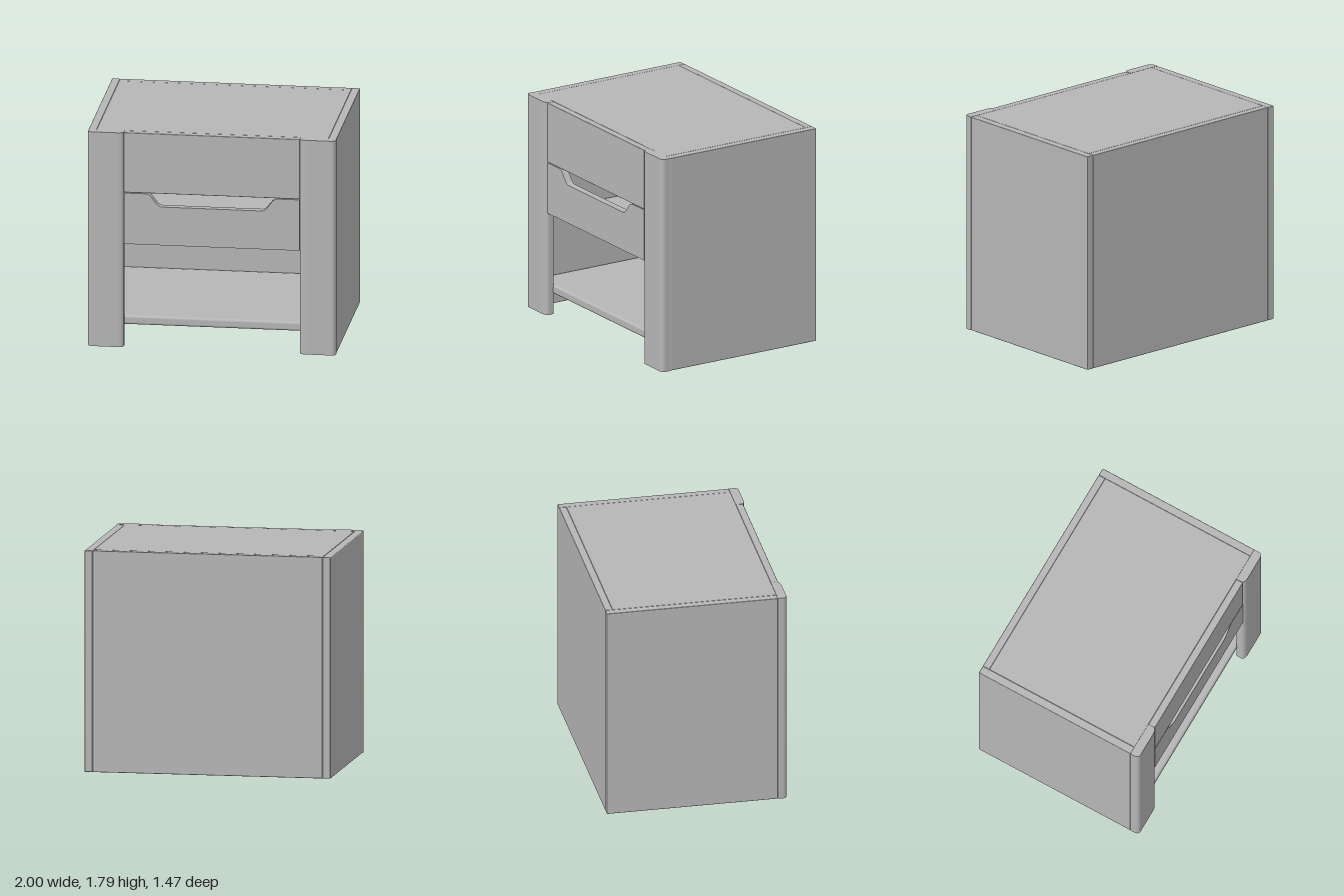
import * as THREE from 'three';
import { RoundedBoxGeometry } from 'three/addons/geometries/RoundedBoxGeometry.js';

const HEIGHT = 1.79;
const grey = new THREE.MeshStandardMaterial({ color: 0xb6b6b6 });
grey.name = 'plain grey';

function add(parent, name, geometry) {
  const mesh = new THREE.Mesh(geometry, grey);
  mesh.name = name;
  parent.add(mesh);
  return mesh;
}

// Board given by its limits on each axis, with slightly eased edges
function board(parent, name, [x0, x1], [y0, y1], [z0, z1], radius = 0.006) {
  const geometry = new RoundedBoxGeometry(x1 - x0, y1 - y0, z1 - z0, 3, radius);
  geometry.translate((x0 + x1) / 2, (y0 + y1) / 2, (z0 + z1) / 2);
  return add(parent, name, geometry);
}

// Upright front post: plan outline with rounded front corners, extruded upwards
function postGeometry(side) {
  const inner = 0.71 * side, outer = side, back = -0.66, front = -0.735;
  const s = new THREE.Shape();
  s.moveTo(inner, back);
  s.lineTo(inner, front + 0.035);
  s.quadraticCurveTo(inner, front, inner + 0.06 * side, front);
  s.lineTo(outer - 0.04 * side, front);
  s.quadraticCurveTo(outer, front, outer, front + 0.04);
  s.lineTo(outer, back);
  s.closePath();
  const geometry = new THREE.ExtrudeGeometry(s, { depth: HEIGHT, bevelEnabled: false, curveSegments: 10 });
  return geometry.rotateX(-Math.PI / 2);
}

// Drawer front with a sloped, softly cornered finger notch in its top edge
function drawerFrontGeometry() {
  const top = 1.285, low = 1.18;
  const s = new THREE.Shape();
  s.moveTo(-0.708, 0.86);
  s.lineTo(0.708, 0.86);
  s.lineTo(0.708, top);
  s.lineTo(0.54, top);
  s.quadraticCurveTo(0.505, top, 0.485, top - 0.028);
  s.lineTo(0.445, low + 0.025);
  s.quadraticCurveTo(0.425, low, 0.395, low);
  s.lineTo(-0.395, low);
  s.quadraticCurveTo(-0.425, low, -0.445, low + 0.025);
  s.lineTo(-0.485, top - 0.028);
  s.quadraticCurveTo(-0.505, top, -0.54, top);
  s.lineTo(-0.708, top);
  s.closePath();
  const geometry = new THREE.ExtrudeGeometry(s, { depth: 0.06, bevelEnabled: false, curveSegments: 6 });
  return geometry.translate(0, 0, 0.66);
}

export function createModel() {
  const model = new THREE.Group();
  model.name = 'bedsideCabinet';

  // Carcass
  for (const side of [-1, 1]) {
    const label = side > 0 ? 'left' : 'right';
    const xs = side > 0 ? [0.935, 1] : [-1, -0.935];
    board(model, label + 'SidePanel', xs, [0, HEIGHT], [-0.735, 0.66]);
    add(model, label + 'FrontPost', postGeometry(side));
  }
  board(model, 'backPanel', [-0.935, 0.935], [0, HEIGHT], [-0.735, -0.675]);
  board(model, 'topPanel', [-0.935, 0.935], [1.72, HEIGHT], [-0.675, 0.66], 0.004);
  board(model, 'bottomShelf', [-0.935, 0.935], [0.17, 0.245], [-0.675, 0.665], 0.02);

  // Fixed panel above the drawer
  board(model, 'upperFrontPanel', [-0.71, 0.71], [1.29, HEIGHT], [0.66, 0.72]);

  // Drawer with an open box behind its notched front
  const drawer = new THREE.Group();
  drawer.name = 'drawer';
  model.add(drawer);
  add(drawer, 'drawerFront', drawerFrontGeometry());
  board(drawer, 'drawerBottom', [-0.7, 0.7], [0.87, 0.9], [-0.6, 0.66]);
  board(drawer, 'drawerBack', [-0.7, 0.7], [0.9, 1.28], [-0.6, -0.56]);
  for (const side of [-1, 1]) {
    const xs = side > 0 ? [0.66, 0.7] : [-0.7, -0.66];
    board(drawer, side > 0 ? 'drawerLeftSide' : 'drawerRightSide', xs, [0.9, 1.28], [-0.56, 0.66]);
  }

  return model;
}
